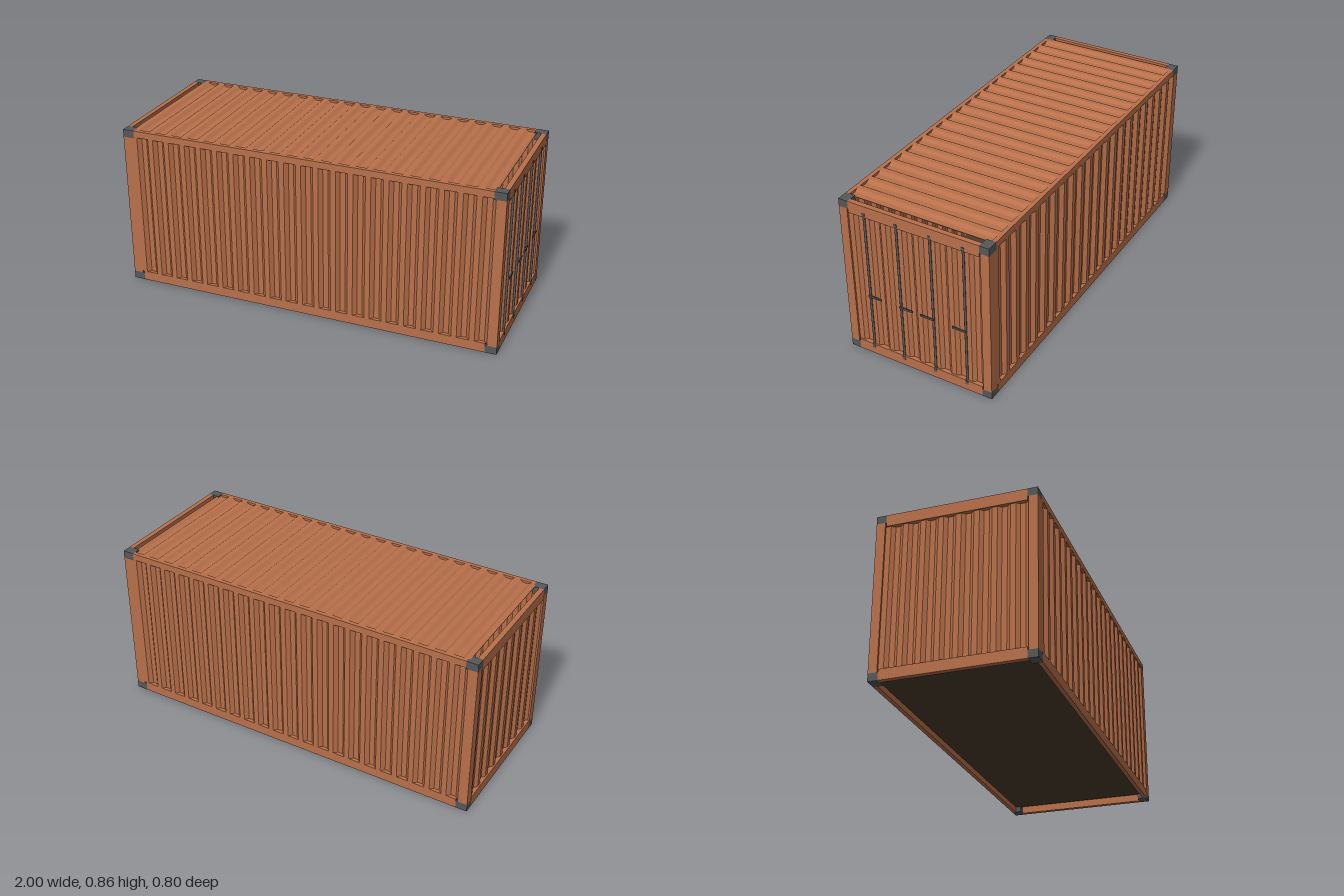
import * as THREE from 'three';

const L = 0.997, W = 0.4, H = 0.855;                 // half length, half width, height
const CAST = { x: 0.06, y: 0.04, z: 0.05 };          // corner casting size
const POST = { x: 0.05, z: 0.045 };

const paint = new THREE.MeshStandardMaterial({ color: 0xb8704b });
const steel = new THREE.MeshStandardMaterial({ color: 0x555759 });
const wood = new THREE.MeshStandardMaterial({ color: 0x4a3c2e });

function add(parent, name, geometry, material, x = 0, y = 0, z = 0) {
  const mesh = new THREE.Mesh(geometry, material);
  mesh.name = name;
  mesh.position.set(x, y, z);
  parent.add(mesh);
  return mesh;
}

// Box given by its minimum and maximum corners
function box(parent, name, material, [x0, y0, z0], [x1, y1, z1]) {
  const g = new THREE.BoxGeometry(x1 - x0, y1 - y0, z1 - z0);
  return add(parent, name, g, material, (x0 + x1) / 2, (y0 + y1) / 2, (z0 + z1) / 2);
}

// Trapezoid-corrugated sheet: crests at y = 0, troughs at -depth, ridges along z
function corrugated(width, length, cycles, depth, thickness = 0.003) {
  const p = width / cycles, line = [];
  for (let i = 0; i < cycles; i++) {
    const x = -width / 2 + i * p;
    line.push([x, 0], [x + 0.3 * p, 0], [x + 0.5 * p, -depth], [x + 0.8 * p, -depth]);
  }
  line.push([width / 2, 0]);
  const back = line.map(([x, y]) => [x, y - thickness]).reverse();
  const shape = new THREE.Shape([...line, ...back].map(([x, y]) => new THREE.Vector2(x, y)));
  return new THREE.ExtrudeGeometry(shape, { depth: length, bevelEnabled: false }).translate(0, 0, -length / 2);
}

// Upright corrugated wall, crests facing +z
const wall = (width, height, cycles, depth) =>
  corrugated(width, height, cycles, depth).rotateX(Math.PI / 2);

export function createModel() {
  const model = new THREE.Group();
  model.name = 'shippingContainer';

  // Corner castings and posts
  for (const sx of [-1, 1]) for (const sz of [-1, 1]) {
    for (const y of [CAST.y / 2, H - CAST.y / 2]) {
      add(model, 'cornerCasting', new THREE.BoxGeometry(CAST.x, CAST.y, CAST.z), steel,
        sx * (L - CAST.x / 2), y, sz * (W - CAST.z / 2));
    }
    add(model, 'cornerPost', new THREE.BoxGeometry(POST.x, H - 2 * CAST.y, POST.z), paint,
      sx * (L - POST.x / 2), H / 2, sz * (W - POST.z / 2));
  }

  // Side rails and side walls
  const railX = L - CAST.x, railZ = W - 0.022, wallX = L - POST.x;
  for (const s of [-1, 1]) {
    const z0 = Math.min(s * W, s * railZ), z1 = Math.max(s * W, s * railZ);
    box(model, 'bottomSideRail', paint, [-railX, 0, z0], [railX, 0.05, z1]);
    box(model, 'topSideRail', paint, [-railX, H - 0.035, z0], [railX, H, z1]);
    const side = add(model, 'sideWall', wall(2 * wallX, H - 0.085, 21, 0.018), paint,
      0, (0.05 + H - 0.035) / 2, s * W);
    if (s < 0) side.rotation.y = Math.PI;
  }

  // End rails
  const endZ = W - CAST.z;
  for (const s of [-1, 1]) {
    const x0 = Math.min(s * L, s * (L - 0.026)), x1 = Math.max(s * L, s * (L - 0.026));
    box(model, 'endSill', paint, [x0, 0, -endZ], [x1, 0.055, endZ]);
    box(model, 'endHeader', paint, [x0, H - 0.06, -endZ], [x1, H, endZ]);
  }

  // Roof and floor
  add(model, 'roof', corrugated(2 * wallX, 2 * railZ, 21, 0.012), paint, 0, H, 0);
  box(model, 'floor', wood, [-wallX, 0.03, -railZ], [wallX, 0.05, railZ]);

  // Closed end wall
  const panelH = H - 0.115, panelY = 0.055 + panelH / 2, panelX = L - 0.008;
  const endWall = add(model, 'endWall', wall(0.708, panelH, 8, 0.014), paint, -panelX, panelY, 0);
  endWall.rotation.y = -Math.PI / 2;

  // Two door leaves, each with two locking bars
  for (const s of [1, -1]) {
    const door = new THREE.Group();
    door.name = s > 0 ? 'leftDoor' : 'rightDoor';
    model.add(door);
    add(door, 'doorPanel', wall(0.354, panelH, 4, 0.014), paint, panelX, panelY, s * 0.177)
      .rotation.y = Math.PI / 2;
    for (const z of [0.265, 0.09]) {
      add(door, 'lockingBar', new THREE.CylinderGeometry(0.006, 0.006, H - 0.08, 12), steel,
        L - 0.004, H / 2, s * z);
      for (const y of [0.042, H - 0.046]) {
        add(door, 'barBracket', new THREE.BoxGeometry(0.012, 0.016, 0.016), steel, L - 0.004, y, s * z);
      }
      add(door, 'doorHandle', new THREE.BoxGeometry(0.006, 0.01, 0.073), steel, L + 0.003, 0.35, s * (z - 0.032));
    }
  }

  // Recentre, since the handles stick out at one end
  for (const part of model.children) part.position.x -= 0.003;
  return model;
}
